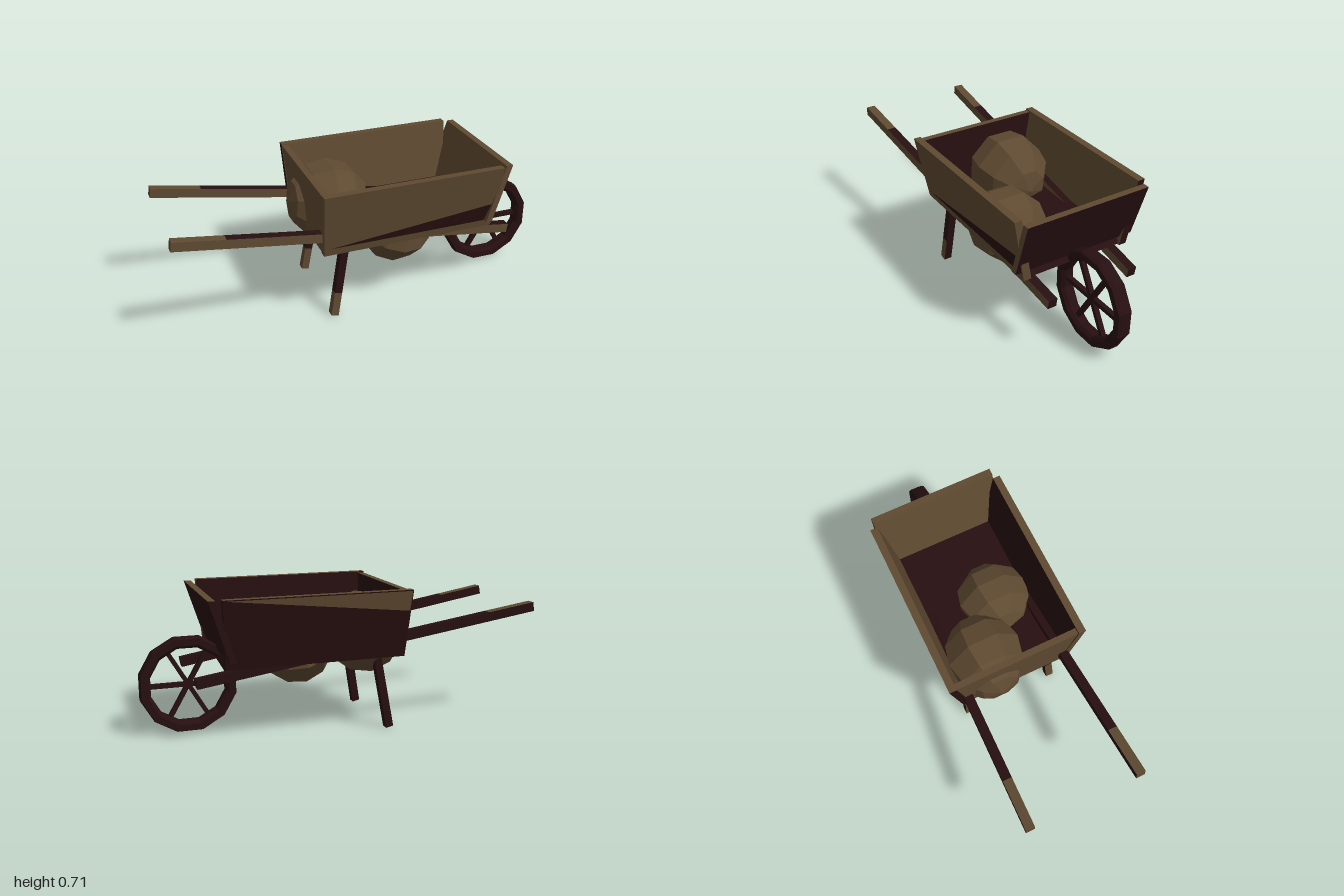
import * as THREE from 'three';

const brown = new THREE.MeshStandardMaterial({ color: 0x5f4a31 });
brown.name = 'weathered brown';
const dark = new THREE.MeshStandardMaterial({ color: 0x270f10 });
dark.name = 'dark wood';

const mix = THREE.MathUtils.lerp;
const B = brown, D = dark;
// Face order: +x, -x, +y, -y, +z, -z
const ALL_DARK = [D, D, D, D, D, D];

// Six-sided block whose corners (u, v, w in 0..1) are placed by a rule
function block(name, rule, mats) {
  const g = new THREE.BoxGeometry(1, 1, 1);
  const p = g.attributes.position;
  for (let i = 0; i < p.count; i++) {
    p.setXYZ(i, ...rule(p.getX(i) + 0.5, p.getY(i) + 0.5, p.getZ(i) + 0.5));
  }
  g.computeVertexNormals();
  const mesh = new THREE.Mesh(g, mats);
  mesh.name = name;
  return mesh;
}

// Board given by bottom and top rectangles [x0, x1, z0, z1]
function board(name, y0, bottom, y1, top, mats) {
  return block(name, (u, v, w) => {
    const r = v < 0.5 ? bottom : top;
    return [mix(r[0], r[1], u), mix(y0, y1, v), mix(r[2], r[3], w)];
  }, mats);
}

// Outer face of the flared side walls
const wallZ = (y) => 0.29 + (y - 0.375) * 0.191;

// Thin painted patch lying on a side wall
function patch(name, side, points, mat) {
  const g = new THREE.BufferGeometry();
  const pos = points.flatMap(([x, y]) => [x, y, side * (wallZ(y) + 0.002)]);
  g.setAttribute('position', new THREE.Float32BufferAttribute(pos, 3));
  g.computeVertexNormals();
  const mesh = new THREE.Mesh(g, mat);
  mesh.name = name;
  return mesh;
}

function makeTray() {
  const tray = new THREE.Group();
  tray.name = 'tray';
  tray.add(
    board('floor', 0.378, [-0.28, 0.6, -0.28, 0.28], 0.415, [-0.28, 0.58, -0.28, 0.28], [D, B, D, D, B, D]),
    board('leftSideWall', 0.375, [-0.285, 0.61, 0.25, 0.29], 0.715, [-0.3, 0.63, 0.318, 0.355], [B, B, B, D, B, D]),
    board('rightSideWall', 0.375, [-0.285, 0.61, -0.29, -0.25], 0.715, [-0.3, 0.63, -0.355, -0.318], [D, D, B, D, B, D]),
    board('frontBoard', 0.415, [0.565, 0.597, -0.327, 0.327], 0.71, [0.657, 0.691, -0.327, 0.327], [D, B, B, D, B, D]),
    board('rearBoard', 0.38, [-0.283, -0.25, -0.26, 0.26], 0.708, [-0.297, -0.265, -0.322, 0.322], [D, B, B, D, B, D]),
    patch('leftWallPatch', 1, [[-0.25, 0.415], [0.605, 0.415], [0.61, 0.51]], dark),
    patch('rightWallPatch', -1, [[0.62, 0.71], [-0.29, 0.61], [-0.295, 0.71]], brown)
  );
  return tray;
}

// Long shaft from the grip down to the wheel, drawn between two x positions
function shaft(name, side, x0, x1, mats) {
  return block(name, (u, v, w) => {
    const x = mix(x0, x1, u), t = (x + 0.997) / 1.737;
    const y = mix(0.583, 0.308, t), z = side * mix(0.285, 0.224, t);
    return [x + (v - 0.5) * 0.008, y + (v - 0.5) * 0.046, z + (w - 0.5) * 0.046];
  }, mats);
}

// Leaning, slightly splayed leg piece between two heights
function leg(name, side, y0, y1, mats) {
  return block(name, (u, v, w) => {
    const y = mix(y0, y1, v), t = y / 0.375;
    return [mix(-0.225, -0.16, t) + (u - 0.5) * 0.038, y + (0.5 - u) * 0.008,
      side * mix(0.242, 0.225, t) + (w - 0.5) * 0.041];
  }, mats);
}

function makeWheel() {
  const wheel = new THREE.Group();
  wheel.name = 'wheel';
  // Twelve-sided rim with bevelled section
  const section = [[0.19, -0.02], [0.205, -0.035], [0.238, -0.035], [0.244, -0.02], [0.244, 0.02],
    [0.238, 0.035], [0.205, 0.035], [0.19, 0.02], [0.19, -0.02]].map(([r, y]) => new THREE.Vector2(r, y));
  const rimGeo = new THREE.LatheGeometry(section, 12).toNonIndexed();
  rimGeo.computeVertexNormals();
  rimGeo.rotateX(Math.PI / 2);
  rimGeo.rotateZ(Math.PI / 12);
  const rim = new THREE.Mesh(rimGeo, dark);
  rim.name = 'rim';
  wheel.add(rim);
  // Three crossing bars give six spokes
  for (let i = 0; i < 3; i++) {
    const spoke = new THREE.Mesh(new THREE.BoxGeometry(0.4, 0.022, 0.024), dark);
    spoke.name = 'spoke';
    spoke.rotation.z = i * Math.PI / 3;
    wheel.add(spoke);
  }
  wheel.position.set(0.742, 0.25, 0);
  return wheel;
}

// Faceted boulder with its pole along x
function boulder(name, center, size, turn) {
  const g = new THREE.SphereGeometry(1, 8, 6).toNonIndexed();
  g.rotateY(Math.PI / 8);
  g.rotateZ(-Math.PI / 2);
  g.scale(...size);
  g.rotateZ(turn);
  g.computeVertexNormals();
  const mesh = new THREE.Mesh(g, brown);
  mesh.name = name;
  mesh.position.set(...center);
  return mesh;
}

export function createModel() {
  const model = new THREE.Group();
  model.name = 'wheelbarrow';
  model.add(makeTray(), makeWheel());
  for (const [label, side] of [['left', 1], ['right', -1]]) {
    model.add(
      shaft(label + 'HandleGrip', side, -0.997, -0.75, [D, B, B, D, B, D]),
      shaft(label + 'Handle', side, -0.75, 0.742, [D, B, D, D, B, D]),
      leg(label + 'LegFoot', side, 0.004, 0.13, [D, B, B, D, B, D]),
      leg(label + 'Leg', side, 0.13, 0.4, ALL_DARK)
    );
  }
  model.add(
    boulder('rearBoulder', [-0.135, 0.475, -0.1], [0.215, 0.212, 0.2], -0.1),
    boulder('frontBoulder', [0.16, 0.372, 0.095], [0.195, 0.19, 0.198], -0.2)
  );
  return model;
}
